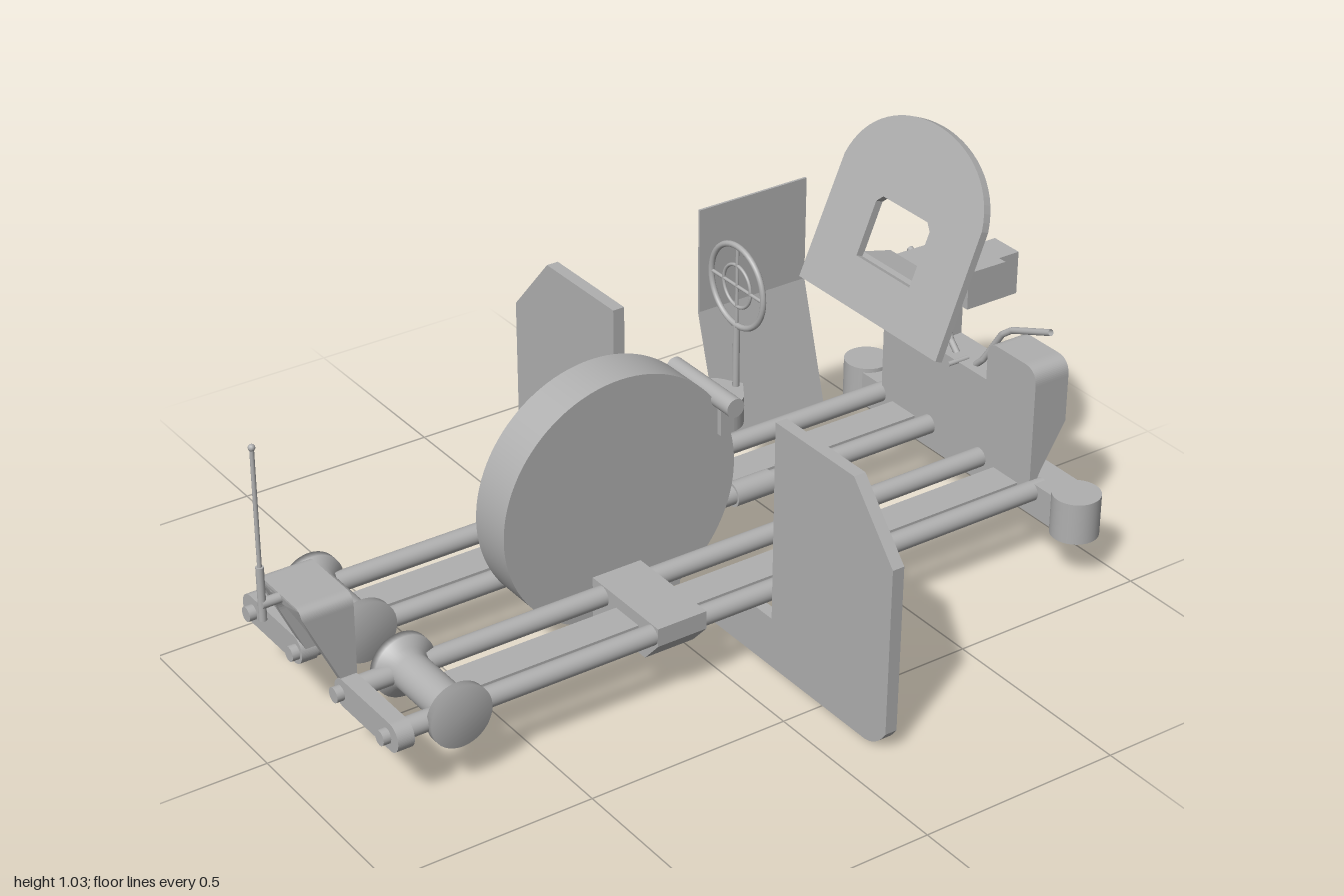
import * as THREE from 'three';

const grey = new THREE.MeshStandardMaterial({ color: 0xb0b0b0, side: THREE.DoubleSide });
grey.name = 'plain grey';

export function createModel() {
  const model = new THREE.Group();
  model.name = 'rollerVehicle';

  const add = (name, geometry, x = 0, y = 0, z = 0) => {
    const mesh = new THREE.Mesh(geometry, grey);
    mesh.name = name;
    mesh.position.set(x, y, z);
    model.add(mesh);
    return mesh;
  };
  const box = (name, x0, x1, y0, y1, z0, z1) =>
    add(name, new THREE.BoxGeometry(x1 - x0, y1 - y0, z1 - z0), (x0 + x1) / 2, (y0 + y1) / 2, (z0 + z1) / 2);
  const rod = (name, axis, r, length, x, y, z, sides = 32) => {
    const g = new THREE.CylinderGeometry(r, r, length, sides);
    if (axis === 'x') g.rotateZ(Math.PI / 2);
    if (axis === 'z') g.rotateX(Math.PI / 2);
    return add(name, g, x, y, z);
  };
  const poly = (pts) => new THREE.Shape(pts.map(([a, b]) => new THREE.Vector2(a, b)));
  const solid = (shape, depth) =>
    new THREE.ExtrudeGeometry(shape, { depth, bevelEnabled: false, curveSegments: 16 }).translate(0, 0, -depth / 2);
  // Side profile in x,y extruded across z
  const across = (name, pts, width) => add(name, solid(poly(pts), width));
  // Profile in -z,y extruded along x
  const along = (name, shape, x0, x1) =>
    add(name, solid(shape, x1 - x0).rotateY(Math.PI / 2), (x0 + x1) / 2);

  // Frame tubes with sleeves
  for (const z of [-0.285, -0.095, 0.095, 0.285]) {
    rod('frameTube', 'x', 0.024, 1.76, 0.02, 0.183, z);
    rod('tubeSleeve', 'x', 0.03, 0.107, 0.34, 0.183, z);
    rod('tubeEndBolt', 'x', 0.018, 0.03, -0.868, 0.183, z, 16);
  }

  // Big wheel and its saddle
  rod('mainWheel', 'z', 0.305, 0.112, -0.123, 0.38, 0, 96);
  along('wheelSaddle', poly([[-0.31, 0.21], [0.31, 0.21], [0.31, 0.165], [0.26, 0.11], [-0.26, 0.11], [-0.31, 0.165]]), -0.2, -0.072);

  for (const s of [-1, 1]) {
    // Rails under the tubes
    along('underRail', poly([[s * 0.148, 0.18], [s * 0.235, 0.18], [s * 0.235, 0.15], [s * 0.215, 0.128], [s * 0.168, 0.128], [s * 0.148, 0.15]]), -0.66, 0.87);

    // Flanged spool
    const spoolProfile = [[0, -0.125], [0.075, -0.125], [0.075, -0.105], [0.052, -0.095], [0.045, -0.075],
      [0.045, 0.075], [0.052, 0.095], [0.075, 0.105], [0.075, 0.125], [0, 0.125]].map(([r, y]) => new THREE.Vector2(r, y));
    add('spool', new THREE.LatheGeometry(spoolProfile, 40).rotateX(Math.PI / 2), -0.703, 0.185, s * 0.194);

    // Round-ended link joining two tube ends
    const link = new THREE.Shape();
    link.absarc(-0.097, 0, 0.034, Math.PI / 2, Math.PI * 1.5);
    link.absarc(0.097, 0, 0.034, -Math.PI / 2, Math.PI / 2);
    add('endLink', solid(link, 0.04).rotateY(Math.PI / 2), -0.845, 0.185, s * 0.2);

    // Large side wing with a foot reaching inwards
    const wing = new THREE.Shape();
    wing.moveTo(s * 0.085, 0);
    wing.lineTo(s * 0.645, 0);
    wing.quadraticCurveTo(s * 0.69, 0, s * 0.722, 0.05);
    wing.lineTo(s * 0.725, 0.465);
    wing.lineTo(s * 0.585, 0.625);
    wing.lineTo(s * 0.31, 0.625);
    wing.lineTo(s * 0.31, 0.125);
    wing.lineTo(s * 0.085, 0.125);
    along('sideWing', wing, 0.105, 0.135);

    // Corner post
    rod('cornerPost', 'y', 0.058, 0.105, 0.912, 0.163, s * 0.392);

    // Bent control lever
    const lever = new THREE.CurvePath();
    const pts = [[0.895, 0.395, 0.035], [0.895, 0.42, 0.06], [0.905, 0.505, 0.11], [0.912, 0.525, 0.135], [0.922, 0.57, 0.258]]
      .map(([x, y, z]) => new THREE.Vector3(x, y, s * z));
    for (let i = 1; i < pts.length; i++) lever.add(new THREE.LineCurve3(pts[i - 1], pts[i]));
    add('controlLever', new THREE.TubeGeometry(lever, 40, 0.008, 10));
  }

  // Arched bracket with a sloped outer side
  const arch = new THREE.Shape();
  arch.moveTo(-0.095, 0.2);
  arch.lineTo(-0.095, 0.385);
  arch.quadraticCurveTo(-0.095, 0.412, -0.068, 0.412);
  arch.lineTo(0.068, 0.412);
  arch.quadraticCurveTo(0.095, 0.412, 0.095, 0.385);
  arch.lineTo(0.095, 0.2);
  arch.lineTo(0.068, 0.2);
  arch.lineTo(0.068, 0.32);
  arch.absarc(0, 0.32, 0.068, 0, Math.PI, false);
  arch.lineTo(-0.068, 0.2);
  const archGeometry = solid(arch, 0.124).rotateY(Math.PI / 2).translate(-0.885, 0, 0);
  const p = archGeometry.attributes.position;
  for (let i = 0; i < p.count; i++) {
    if (p.getX(i) < -0.885) p.setX(i, -0.855 - 0.092 * Math.min(1, (p.getY(i) - 0.2) / 0.195));
  }
  archGeometry.computeVertexNormals();
  add('archBracket', archGeometry);

  // Antenna
  rod('antennaMount', 'x', 0.012, 0.05, -0.965, 0.4, 0, 16);
  rod('antennaBase', 'y', 0.009, 0.13, -0.987, 0.425, 0, 16);
  rod('antennaMast', 'y', 0.005, 0.29, -0.987, 0.63, 0, 12);
  add('antennaTip', new THREE.SphereGeometry(0.008, 12, 8), -0.987, 0.775, 0);

  // Ring sight on its block
  along('sightBlock', poly([[-0.07, 0.535], [0.07, 0.535], [0.07, 0.467], [-0.07, 0.467]]), 0.135, 0.17);
  across('sightBlockCore', [[0.14, 0.467], [0.17, 0.467], [0.17, 0.535], [0.14, 0.535]], 0.1);
  const nose = new THREE.Shape();
  nose.moveTo(0.165, -0.07);
  nose.quadraticCurveTo(0.205, -0.07, 0.225, -0.03);
  nose.lineTo(0.245, 0);
  nose.lineTo(0.225, 0.03);
  nose.quadraticCurveTo(0.205, 0.07, 0.165, 0.07);
  add('sightNose', solid(nose, 0.068).rotateX(-Math.PI / 2), 0, 0.501, 0);
  rod('sightCrossBar', 'z', 0.023, 0.235, 0.14, 0.558, 0);
  rod('sightPost', 'y', 0.008, 0.17, 0.225, 0.605, 0, 16);
  for (const r of [0.097, 0.05]) {
    add('sightRing', new THREE.TorusGeometry(r, r > 0.06 ? 0.007 : 0.004, 10, 48).rotateY(Math.PI / 2), 0.225, 0.785, 0);
  }
  rod('sightSpoke', 'y', 0.004, 0.19, 0.225, 0.785, 0, 10);
  rod('sightSpoke', 'z', 0.004, 0.19, 0.225, 0.785, 0, 10);

  // Bent sheet along the rear edge
  along('rearSheet', poly([[0.297, 0.2], [0.385, 0.5], [0.385, 0.765], [0.391, 0.765], [0.391, 0.5], [0.303, 0.2]]), 0.398, 0.705);

  // End beam and twin-lobed body
  box('endBeam', 0.868, 0.963, 0.12, 0.205, -0.36, 0.36);
  across('endBodyLower', [[0.868, 0.2], [0.888, 0.2], [0.898, 0.222], [0.966, 0.335], [0.966, 0.345], [0.868, 0.345]], 0.556);
  const lobes = new THREE.Shape();
  lobes.moveTo(-0.278, 0.34);
  lobes.lineTo(-0.278, 0.455);
  lobes.quadraticCurveTo(-0.278, 0.497, -0.236, 0.497);
  lobes.lineTo(-0.14, 0.497);
  lobes.quadraticCurveTo(-0.106, 0.497, -0.106, 0.46);
  lobes.lineTo(-0.106, 0.396);
  lobes.lineTo(0.106, 0.396);
  lobes.lineTo(0.106, 0.46);
  lobes.quadraticCurveTo(0.106, 0.497, 0.14, 0.497);
  lobes.lineTo(0.236, 0.497);
  lobes.quadraticCurveTo(0.278, 0.497, 0.278, 0.455);
  lobes.lineTo(0.278, 0.34);
  along('endBodyLobes', lobes, 0.868, 0.966);
  rod('leverPin', 'x', 0.006, 0.06, 0.87, 0.397, 0, 10);

  // Tilted domed shield with a window
  const shield = new THREE.Shape();
  shield.moveTo(-0.253, 0);
  shield.lineTo(-0.248, 0.31);
  shield.bezierCurveTo(-0.225, 0.42, -0.11, 0.472, 0, 0.472);
  shield.bezierCurveTo(0.11, 0.472, 0.225, 0.42, 0.248, 0.31);
  shield.lineTo(0.253, 0);
  shield.holes.push(poly([[-0.097, 0.115], [0.097, 0.115], [0.097, 0.25], [0.08, 0.267], [-0.08, 0.267], [-0.097, 0.25]]));
  const shieldMesh = add('tiltedShield', solid(shield, 0.02).rotateY(Math.PI / 2), 0.598, 0.592, 0);
  shieldMesh.rotation.z = -Math.atan2(0.18, 0.43);

  // Stepped instrument housing
  across('housingRear', [[0.6, 0.592], [0.735, 0.605], [0.735, 0.685], [0.655, 0.705]], 0.2);
  across('housingArm', [[0.73, 0.605], [0.8, 0.605], [0.825, 0.66], [0.925, 0.66], [0.925, 0.677], [0.73, 0.68]], 0.17);
  box('housingHead', 0.853, 1.0, 0.556, 0.664, -0.043, 0.043);

  return model;
}
